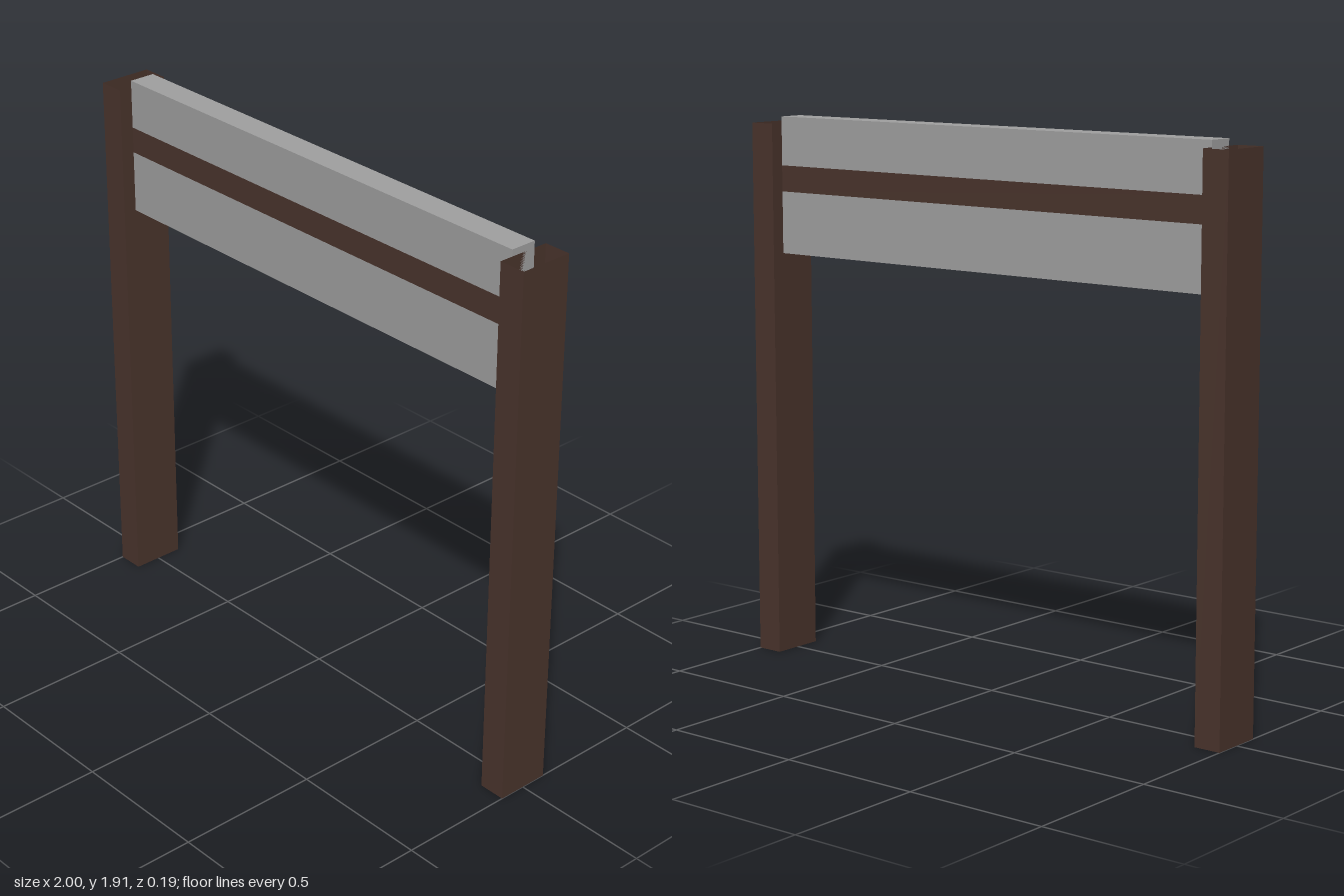
import * as THREE from 'three';

const HALF_WIDTH = 1, POST_W = 0.095, POST_D = 0.19, POST_H = 1.89;
const PANEL_D = 0.094, PANEL_W = 2 * (HALF_WIDTH - POST_W);

// Box without its top and bottom faces: a hollow square tube
function openTube(w, h, d) {
  const geo = new THREE.BoxGeometry(w, h, d);
  const index = Array.from(geo.index.array);
  geo.setIndex([...index.slice(0, 12), ...index.slice(24, 36)]);
  geo.clearGroups();
  return geo;
}

export function createModel() {
  const group = new THREE.Group();
  const brown = new THREE.MeshStandardMaterial({ color: 0x4a342c, side: THREE.DoubleSide });
  brown.name = 'dark brown';
  const grey = new THREE.MeshStandardMaterial({ color: 0xa0a0a0 });
  grey.name = 'grey';

  const add = (name, geometry, material, x, y) => {
    const mesh = new THREE.Mesh(geometry, material);
    mesh.name = name;
    mesh.position.set(x, y, 0);
    group.add(mesh);
  };

  // Hollow posts, open at both ends
  for (const [name, side] of [['leftPost', 1], ['rightPost', -1]]) {
    add(name, openTube(POST_W, POST_H, POST_D), brown, side * (HALF_WIDTH - POST_W / 2), POST_H / 2);
  }

  // Panel between the posts, with the rail running through it
  const bands = [
    ['lowerPanel', 1.435, 1.652, grey],
    ['rail', 1.652, 1.743, brown],
    ['upperPanel', 1.743, 1.913, grey],
  ];
  for (const [name, y0, y1, material] of bands) {
    add(name, new THREE.BoxGeometry(PANEL_W, y1 - y0, PANEL_D), material, 0, (y0 + y1) / 2);
  }
  return group;
}
